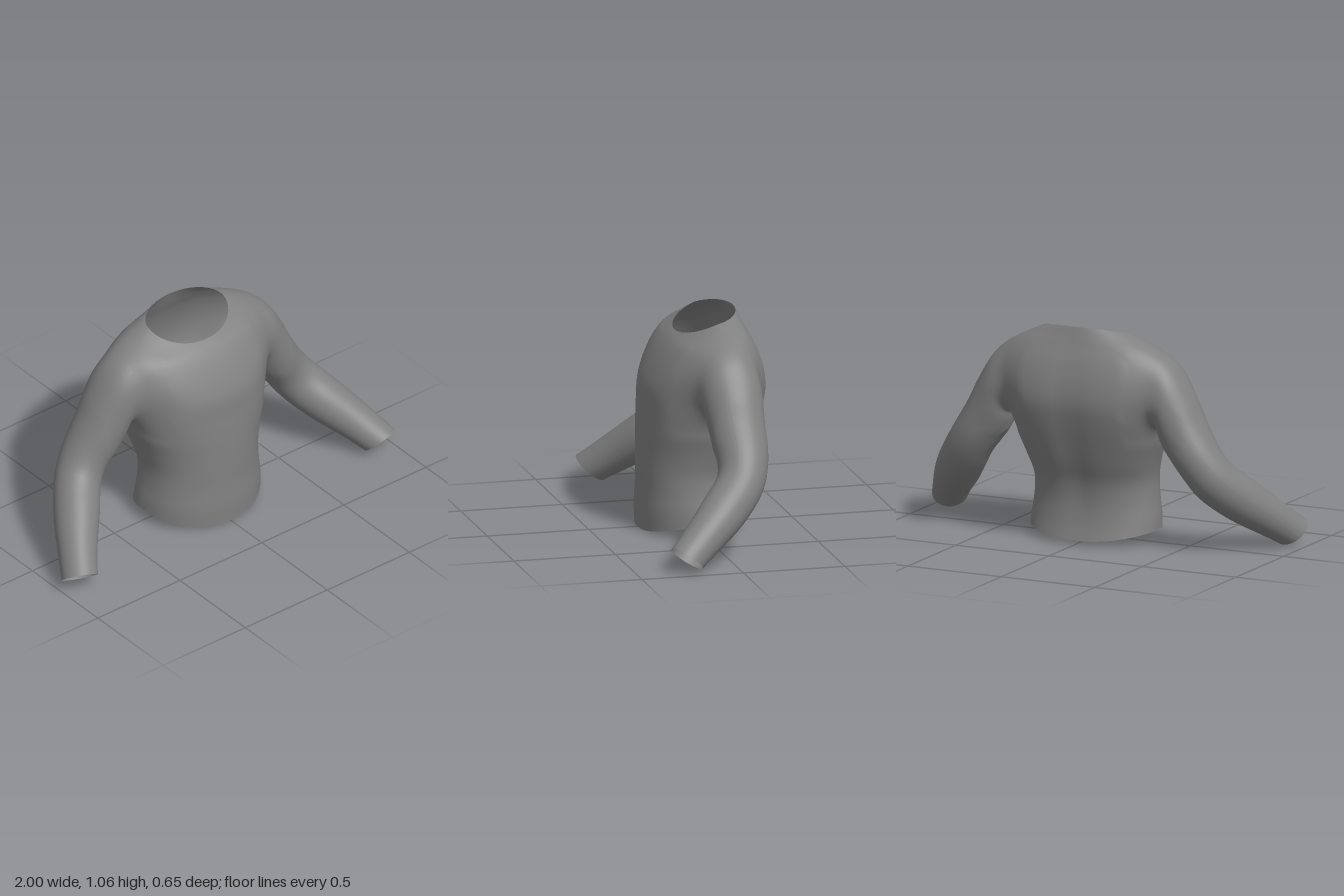
import * as THREE from 'three';
import { mergeVertices } from 'three/addons/utils/BufferGeometryUtils.js';

// Torso loops, hem to neckline:
// y front, y side, y back, half width, z front, z back, z side, squareness front, squareness back
const TORSO = [
  [0.00, 0.06, 0.02, 0.325, 0.260, -0.235, -0.02, 2.2, 2.1],
  [0.10, 0.12, 0.10, 0.320, 0.262, -0.215, -0.01, 2.2, 2.2],
  [0.20, 0.20, 0.20, 0.308, 0.257, -0.205, 0.00, 2.2, 2.3],
  [0.30, 0.30, 0.30, 0.303, 0.257, -0.217, 0.00, 2.2, 2.4],
  [0.40, 0.40, 0.40, 0.325, 0.255, -0.252, -0.02, 2.2, 2.6],
  [0.50, 0.50, 0.50, 0.355, 0.250, -0.282, -0.04, 2.3, 2.8],
  [0.60, 0.58, 0.60, 0.377, 0.243, -0.308, -0.06, 2.4, 3.0],
  [0.70, 0.68, 0.70, 0.400, 0.235, -0.325, -0.09, 2.4, 3.0],
  [0.78, 0.79, 0.80, 0.425, 0.205, -0.314, -0.09, 2.4, 3.0],
  [0.86, 0.88, 0.90, 0.430, 0.163, -0.283, -0.09, 2.3, 2.8],
  [0.91, 0.945, 0.97, 0.405, 0.128, -0.250, -0.08, 2.2, 2.4],
  [0.94, 0.992, 1.02, 0.310, 0.100, -0.228, -0.08, 2.0, 2.1],
  [0.957, 1.028, 1.06, 0.225, 0.078, -0.210, -0.08, 2.0, 2.0],
];

// Left sleeve loops, shoulder to cuff: centre, axis, radius across, radius front to back
const SLEEVE = [
  [[0.440, 0.740, -0.090], [0.97, -0.25, 0], 0.158, 0.153],
  [[0.478, 0.648, -0.095], [0.80, -0.60, 0], 0.136, 0.146],
  [[0.535, 0.550, -0.098], [0.78, -0.62, 0], 0.125, 0.137],
  [[0.607, 0.440, -0.100], [0.62, -0.78, 0.10], 0.112, 0.122],
  [[0.668, 0.350, -0.070], [0.58, -0.70, 0.40], 0.113, 0.115],
  [[0.755, 0.248, 0.030], [0.50, -0.57, 0.65], 0.110, 0.112],
  [[0.840, 0.155, 0.142], [0.48, -0.60, 0.64], 0.096, 0.098],
  [[0.915, 0.065, 0.255], [0.25, -0.76, 0.60], 0.088, 0.088],
];

const COLS = 36, ROW_STEPS = 4, SLEEVE_STEPS = 4;
const HOLE = { j: 18, i: 32, rj: 6.2, ri: 8.2 }; // armhole ellipse in columns and rows

function torsoPoint([yF, yS, yB, w, zF, zB, zS, pF, pB], angle) {
  const c = Math.cos(angle), s = Math.abs(Math.sin(angle));
  const front = c >= 0, e = 2 / (front ? pF : pB);
  const x = s < 1e-6 ? 0 : w * s ** e;
  // round hem, straight sloping neckline
  const y = THREE.MathUtils.lerp(yS, front ? yF : yB, Math.abs(c) ** (2 - yS * 0.9));
  let z = zS + ((front ? zF : zB) - zS) * Math.abs(c) ** e;
  // spine groove
  if (!front) z += 0.014 * Math.sin(Math.PI * Math.min(1, y / 1.06)) * Math.exp(-((x / 0.07) ** 2));
  return new THREE.Vector3(x, y, z);
}

function sleevePoint([centre, axis, rU, rV], angle) {
  const n = new THREE.Vector3(...axis).normalize();
  const v = new THREE.Vector3(0, 0, 1).addScaledVector(n, -n.z).normalize();
  const u = v.clone().cross(n);
  return new THREE.Vector3(...centre)
    .addScaledVector(u, rU * Math.cos(angle))
    .addScaledVector(v, rV * Math.sin(angle));
}

// Smooth strand through the key points, with a fixed number of steps between keys
function strand(keys, steps) {
  const curve = new THREE.CatmullRomCurve3(keys);
  const count = (keys.length - 1) * steps;
  return Array.from({ length: count + 1 }, (_, i) => curve.getPoint(i / count));
}

// Blend the shoulder and armpit by moving each point there towards its neighbours
function relaxShoulder(points, index, rounds) {
  const near = points.map(() => new Set());
  for (let f = 0; f < index.length; f += 3) {
    const [a, b, c] = index.slice(f, f + 3);
    near[a].add(b).add(c);
    near[b].add(a).add(c);
    near[c].add(a).add(b);
  }
  for (let r = 0; r < rounds; r++) {
    const means = points.map((p, k) => {
      const mean = new THREE.Vector3();
      near[k].forEach(n => mean.addScaledVector(points[n], 1 / near[k].size));
      return mean;
    });
    points.forEach((p, k) => {
      if (p.x > 0.27 && p.x < 0.56 && p.y > 0.5) p.lerp(means[k], 0.5);
    });
  }
}

function createShirtGeometry() {
  const points = [], index = [];
  const add = p => points.push(p) - 1;
  const quad = (a, b, c, d) => index.push(a, b, c, a, c, d);

  // left half of the torso, column by column from front to back, leaving the armhole open
  const torso = [];
  for (let j = 0; j <= COLS; j++) {
    const angle = Math.PI * j / COLS;
    torso.push(strand(TORSO.map(r => torsoPoint(r, angle)), ROW_STEPS).map(add));
  }
  const inHole = (j, i) =>
    ((j + 0.5 - HOLE.j) / HOLE.rj) ** 2 + ((i + 0.5 - HOLE.i) / HOLE.ri) ** 2 < 1;
  const rim = [];
  for (let j = 0; j < COLS; j++) {
    for (let i = 0; i < torso[0].length - 1; i++) {
      if (!inHole(j, i)) quad(torso[j][i], torso[j + 1][i], torso[j + 1][i + 1], torso[j][i + 1]);
      const around = [inHole(j, i), inHole(j - 1, i), inHole(j, i - 1), inHole(j - 1, i - 1)];
      if (around.includes(true) && around.includes(false)) {
        rim.push({ id: torso[j][i], turn: Math.atan2(HOLE.j - j, i - HOLE.i) });
      }
    }
  }
  rim.sort((a, b) => a.turn - b.turn);

  // sleeve grown out of the armhole rim
  const mid = new THREE.Vector3();
  rim.forEach(({ id }) => mid.addScaledVector(points[id], 1 / rim.length));
  const sleeve = rim.map(({ id }) => {
    const p = points[id];
    const angle = Math.atan2(p.z - mid.z, p.y - mid.y);
    const line = strand([p, ...SLEEVE.map(r => sleevePoint(r, angle))], SLEEVE_STEPS);
    return [id, ...line.slice(1).map(add)];
  });
  sleeve.forEach((a, k) => {
    const b = sleeve[(k + 1) % sleeve.length];
    for (let i = 0; i < a.length - 1; i++) quad(a[i], b[i], b[i + 1], a[i + 1]);
  });
  relaxShoulder(points, index, 10);

  // mirror to the right half and weld along the middle
  const half = points.length, faces = index.length;
  for (let i = 0; i < half; i++) add(new THREE.Vector3(-points[i].x, points[i].y, points[i].z));
  for (let f = 0; f < faces; f += 3) index.push(index[f] + half, index[f + 2] + half, index[f + 1] + half);

  const geometry = new THREE.BufferGeometry().setFromPoints(points);
  geometry.setIndex(index);
  const welded = mergeVertices(geometry, 1e-5);
  welded.computeVertexNormals();
  return welded;
}

export function createModel() {
  const group = new THREE.Group();
  group.name = 'longSleevedTop';
  const material = new THREE.MeshStandardMaterial({ color: 0x808080, side: THREE.DoubleSide });
  const shirt = new THREE.Mesh(createShirtGeometry(), material);
  shirt.name = 'torsoAndSleeves';
  group.add(shirt);
  return group;
}
